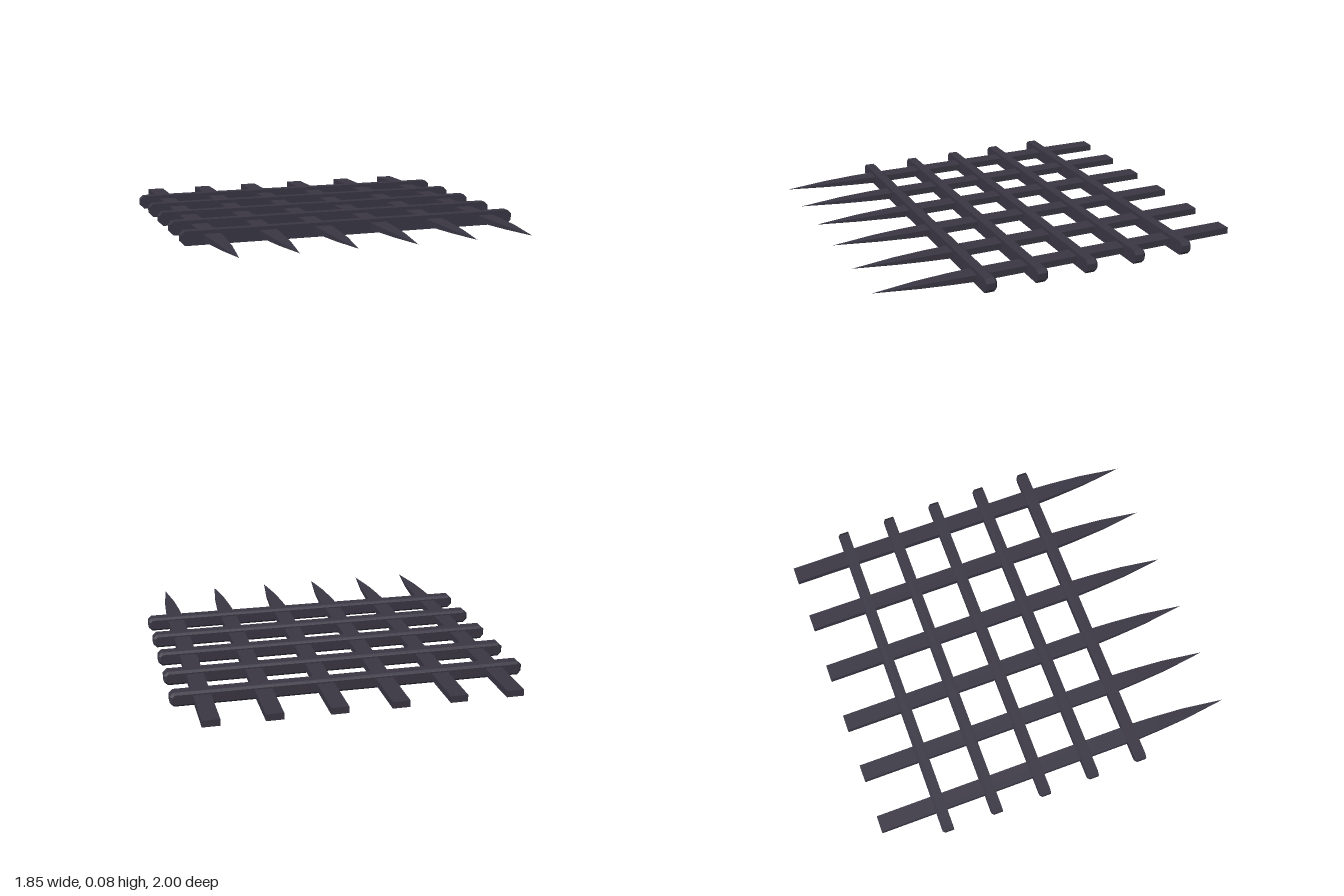
import * as THREE from 'three';
import { ConvexGeometry } from 'three/addons/geometries/ConvexGeometry.js';

const iron = new THREE.MeshStandardMaterial({ color: 0x3a3744 });
iron.name = 'darkIron';

// Flat bar along z, tapering to a point at the front: [z, half width, bottom, top]
function barGeometry() {
  const sections = [
    [-1, 0.045, 0.021, 0.056],
    [0.47, 0.045, 0.021, 0.056],
    [0.6, 0.039, 0.025, 0.055],
    [0.77, 0.028, 0.032, 0.051],
  ];
  const points = [new THREE.Vector3(0, 0.042, 1)];
  for (const [z, w, bottom, top] of sections)
    for (const x of [-w, w])
      for (const y of [bottom, top]) points.push(new THREE.Vector3(x, y, z));
  return new ConvexGeometry(points);
}

// Cross rail along x: clipped corners, with a chamfer around the back face
function railGeometry() {
  const halfLength = 0.927, halfHeight = 0.0375, clip = 0.02;
  const points = [];
  for (const [z, inset] of [[0.031, 0], [-0.019, 0], [-0.031, 0.012]]) {
    const a = halfLength - inset, b = halfHeight - inset;
    const c = inset ? clip * 0.6 : clip;
    for (const sx of [-1, 1])
      for (const sy of [-1, 1])
        points.push(
          new THREE.Vector3(sx * a, sy * (b - c), z),
          new THREE.Vector3(sx * (a - c), sy * b, z)
        );
  }
  return new ConvexGeometry(points);
}

export function createModel() {
  const model = new THREE.Group();
  model.name = 'spikedGrate';

  // Spiked bars
  const bar = barGeometry();
  [-0.77, -0.474, -0.175, 0.135, 0.456, 0.765].forEach((x, i) => {
    const mesh = new THREE.Mesh(bar, iron);
    mesh.name = `spikedBar${i + 1}`;
    mesh.position.x = x;
    model.add(mesh);
  });

  // Evenly spaced cross rails
  const rail = railGeometry();
  for (let i = 0; i < 5; i++) {
    const mesh = new THREE.Mesh(rail, iron);
    mesh.name = `crossRail${i + 1}`;
    mesh.position.set(-0.002, 0.0375, -0.665 + i * 0.277);
    model.add(mesh);
  }
  return model;
}
